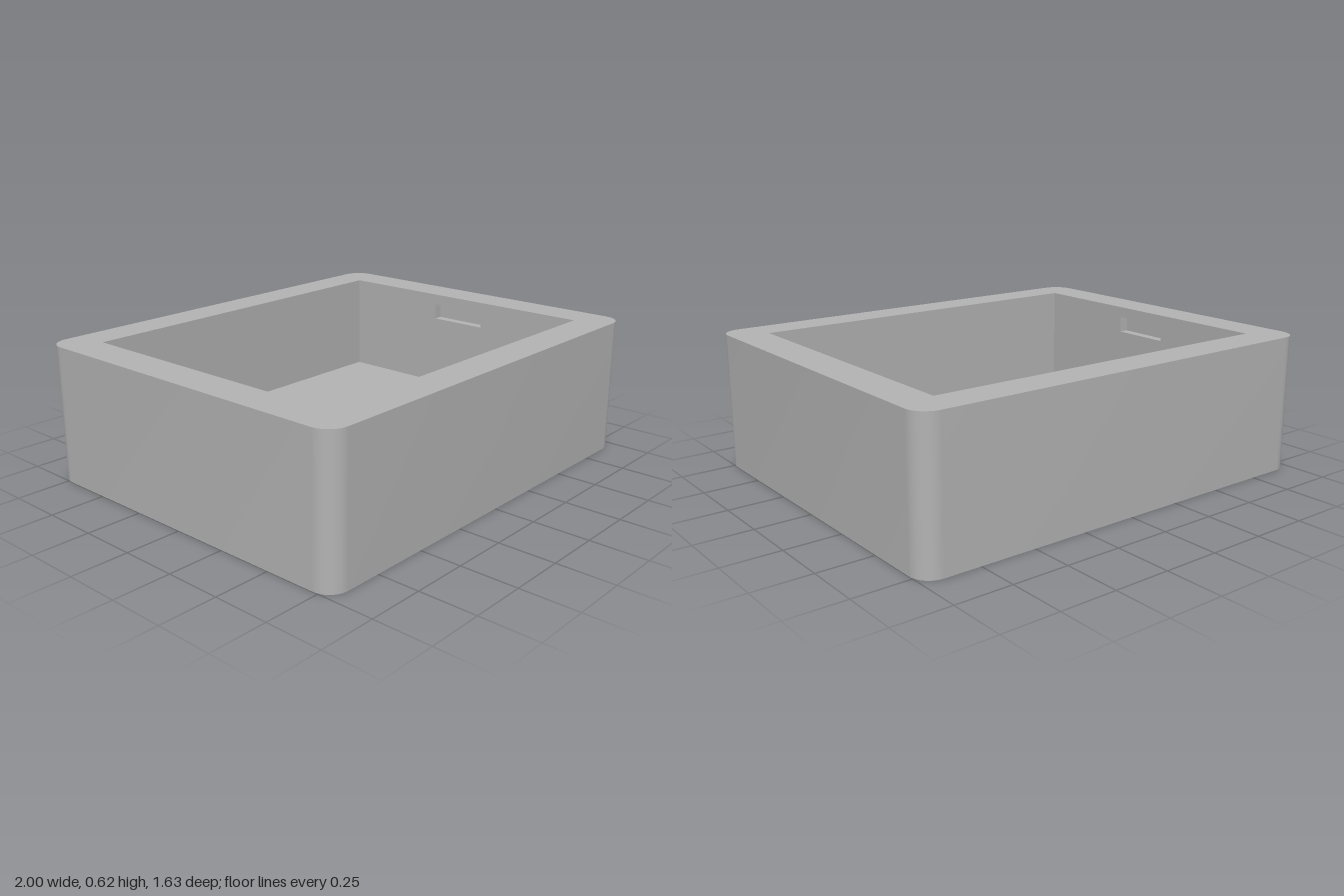
import * as THREE from 'three';
import { toCreasedNormals } from 'three/addons/utils/BufferGeometryUtils.js';

const W = 1, D = 0.815, H = 0.615, R = 0.09;        // outer half sizes, height, corner radius
const IW = 0.835, ID = 0.655, FLOOR = 0.155;        // cavity half sizes and floor level
const SLOT = { half: 0.14, y0: 0.49, y1: 0.565, depth: 0.045 };

// Rectangle as counter-clockwise points
const rect = (x0, y0, x1, y1) =>
  [[x0, y0], [x1, y0], [x1, y1], [x0, y1]].map(([x, y]) => new THREE.Vector2(x, y));

// Rounded rectangle as counter-clockwise points
function roundedRect(w, d, r, steps = 12) {
  const pts = [];
  [[1, 1], [-1, 1], [-1, -1], [1, -1]].forEach(([sx, sy], q) => {
    for (let i = 0; i <= steps; i++) {
      const a = (q + i / steps) * Math.PI / 2;
      pts.push(new THREE.Vector2(sx * (w - r) + r * Math.cos(a), sy * (d - r) + r * Math.sin(a)));
    }
  });
  return pts;
}

// Open band swept along z; counter-clockwise points face outward, reversed points inward
function band(pts, z0, z1) {
  const pos = [];
  pts.forEach((a, i) => {
    const b = pts[(i + 1) % pts.length];
    pos.push(a.x, a.y, z0, b.x, b.y, z0, b.x, b.y, z1);
    pos.push(a.x, a.y, z0, b.x, b.y, z1, a.x, a.y, z1);
  });
  const geo = new THREE.BufferGeometry();
  geo.setAttribute('position', new THREE.Float32BufferAttribute(pos, 3));
  geo.computeVertexNormals();
  return toCreasedNormals(geo, 0.6);
}

// Flat face with an optional hole
function face(pts, hole) {
  const shape = new THREE.Shape(pts);
  if (hole) shape.holes.push(new THREE.Path(hole));
  return new THREE.ShapeGeometry(shape);
}

export function createModel() {
  const model = new THREE.Group();
  model.name = 'basin';
  const grey = new THREE.MeshStandardMaterial({ color: 0xb4b4b4 });
  grey.name = 'grey';
  const add = (name, geo, parent = model) => {
    const mesh = new THREE.Mesh(geo, grey);
    mesh.name = name;
    parent.add(mesh);
    return mesh;
  };

  // Outer body: sides, underside and rim
  const outer = roundedRect(W, D, R);
  const cavity = rect(-IW, -ID, IW, ID);
  add('outerWall', band(outer, 0, H).rotateX(-Math.PI / 2));
  add('underside', face(outer).rotateX(Math.PI / 2));
  add('rim', face(outer, cavity).rotateX(-Math.PI / 2).translate(0, H, 0));

  // Cavity floor and plain front and back walls
  add('cavityFloor', face(cavity).rotateX(-Math.PI / 2).translate(0, FLOOR, 0));
  const longWall = rect(-IW, FLOOR, IW, H);
  add('innerBackWall', face(longWall).translate(0, 0, -ID));
  add('innerFrontWall', face(longWall).rotateY(Math.PI).translate(0, 0, ID));

  // Inner side walls, each with a recessed grip slot
  const slot = rect(-SLOT.half, SLOT.y0, SLOT.half, SLOT.y1);
  for (const side of [-1, 1]) {
    const wall = new THREE.Group();
    wall.name = side > 0 ? 'leftInnerWall' : 'rightInnerWall';
    add('slottedWall', face(rect(-ID, FLOOR, ID, H), slot), wall);
    add('slotSides', band([...slot].reverse(), -SLOT.depth, 0), wall);
    add('slotBack', face(slot).translate(0, 0, -SLOT.depth), wall);
    wall.rotation.y = -side * Math.PI / 2;
    wall.position.x = side * IW;
    model.add(wall);
  }
  return model;
}
